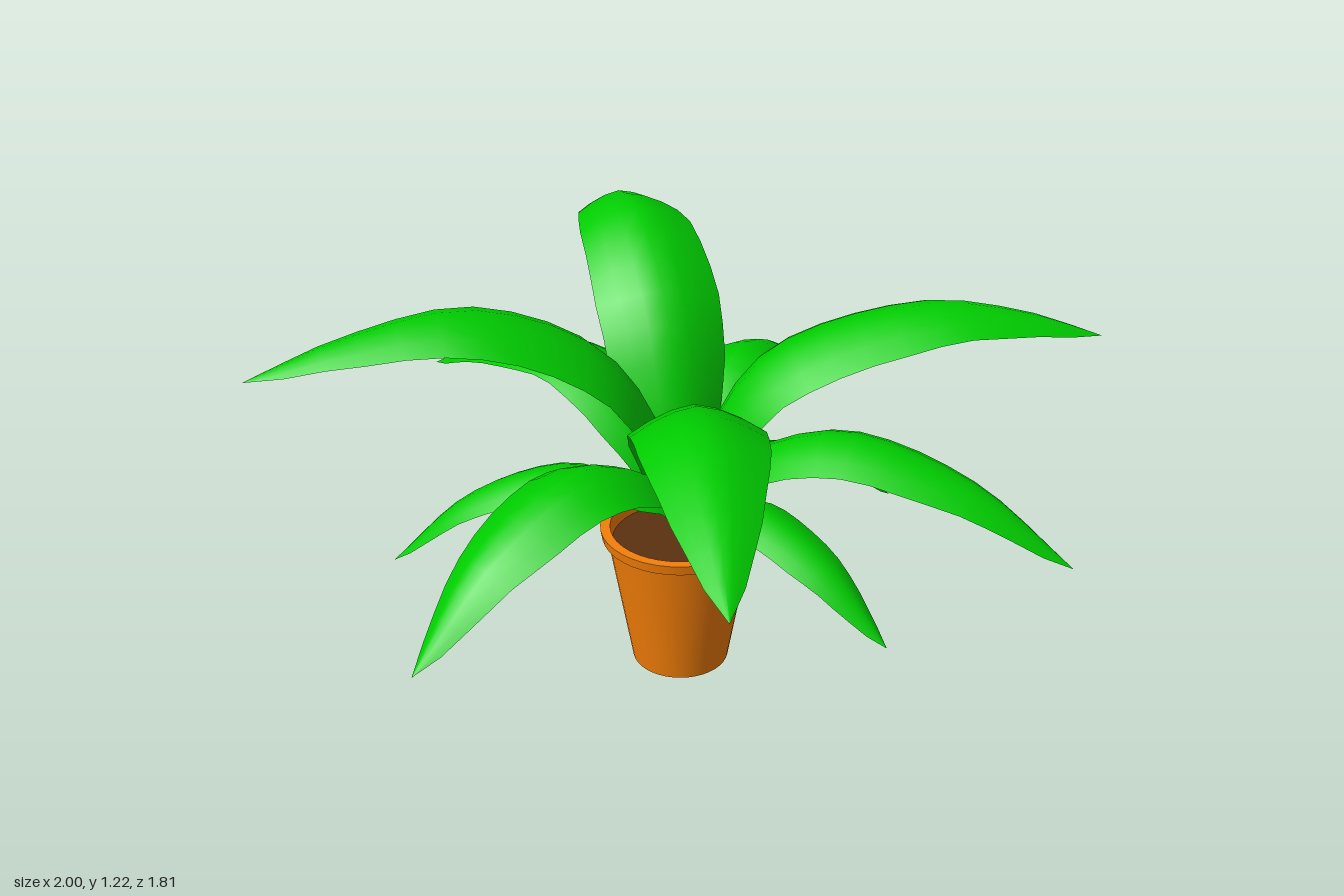
import * as THREE from 'three';

const CENTRE = new THREE.Vector3(-0.04, 0, -0.045);
const leafMaterial = new THREE.MeshStandardMaterial({ color: 0x00cc00, side: THREE.DoubleSide });
const potMaterial = new THREE.MeshStandardMaterial({ color: 0xf57f08, side: THREE.DoubleSide });
const soilMaterial = new THREE.MeshStandardMaterial({ color: 0x5c3010 });

// Half-width along a leaf: thin stalk, broad middle, rounded taper to the tip
const WIDTH = [[0, 0.06], [0.08, 0.1], [0.17, 0.66], [0.3, 0.93], [0.45, 1], [0.65, 0.9], [0.82, 0.58], [0.93, 0.29], [1, 0]];

function widthAt(t) {
  for (let i = 1; i < WIDTH.length; i++) {
    const [a, wa] = WIDTH[i - 1], [b, wb] = WIDTH[i];
    if (t <= b) return wa + (wb - wa) * (t - a) / (b - a);
  }
  return 0;
}

// Arching leaf blade: a domed strip swept along a curve that rises, peaks and droops to the tip
function makeLeaf(name, { tip, peak, at, half, sag = 0.31 }) {
  const end = new THREE.Vector3(...tip);
  const out = new THREE.Vector3(end.x - CENTRE.x, 0, end.z - CENTRE.z);
  const reach = out.length();
  out.normalize();
  const side = new THREE.Vector3(0, 1, 0).cross(out);
  const base = 0.38, rise = peak - base;
  const point = (r, y) => CENTRE.clone().addScaledVector(out, r * reach).setY(y);
  const curve = new THREE.CatmullRomCurve3([
    point(0.01, base),
    point(0.045, base + rise * 0.42),
    point(0.19, base + rise * 0.8),
    point(at, peak),
    point((at + 1) / 2 + 0.03, peak - (peak - tip[1]) * sag),
    end,
  ], false, 'centripetal');

  const along = 16, across = 6, positions = [], index = [];
  for (let i = 0; i <= along; i++) {
    const t = i / along;
    const p = curve.getPointAt(t);
    const normal = curve.getTangentAt(t).cross(side);
    const w = half * widthAt(t);
    for (let j = 0; j <= across; j++) {
      const s = j / across * 2 - 1;
      const v = p.clone().addScaledVector(side, s * w).addScaledVector(normal, -0.42 * w * Math.abs(s) ** 1.6);
      positions.push(v.x, v.y, v.z);
      if (i < along && j < across) {
        const a = i * (across + 1) + j, b = a + across + 1;
        index.push(a, b, a + 1);
        if (i < along - 1) index.push(b, b + 1, a + 1);
      }
    }
  }
  const geometry = new THREE.BufferGeometry();
  geometry.setAttribute('position', new THREE.Float32BufferAttribute(positions, 3));
  geometry.setIndex(index);
  geometry.computeVertexNormals();
  const mesh = new THREE.Mesh(geometry, leafMaterial);
  mesh.name = name;
  return mesh;
}

// Surface of revolution in straight bands, each with its own crisp edge
function makePot() {
  const pot = new THREE.Group();
  pot.name = 'pot';
  const bands = {
    potBase: [[0, 0], [0.14, 0]],
    potWall: [[0.14, 0], [0.208, 0.405]],
    rimUnderside: [[0.208, 0.405], [0.223, 0.405]],
    rimSide: [[0.223, 0.405], [0.228, 0.435]],
    rimTop: [[0.228, 0.435], [0.2, 0.435]],
    potInside: [[0.2, 0.435], [0.193, 0.38]],
  };
  for (const [name, pts] of Object.entries(bands)) {
    const profile = pts.map(([r, y]) => new THREE.Vector2(r, y));
    const mesh = new THREE.Mesh(new THREE.LatheGeometry(profile, 40), potMaterial);
    mesh.name = name;
    pot.add(mesh);
  }
  // Soil filling the pot
  const soil = new THREE.Mesh(new THREE.CircleGeometry(0.195, 40), soilMaterial);
  soil.rotation.x = -Math.PI / 2;
  soil.position.y = 0.39;
  soil.name = 'soil';
  pot.add(soil);
  pot.position.set(-0.05, 0, -0.038);
  return pot;
}

export function createModel() {
  const model = new THREE.Group();
  model.name = 'pottedPlant';
  model.add(makePot());

  // Three tiers of leaves
  const tiers = {
    upperLeaf: [
      { tip: [0.84, 0.98, -0.78], peak: 1.09, at: 0.56, half: 0.175 },
      { tip: [-0.83, 0.93, -0.67], peak: 1.22, at: 0.5, half: 0.18, sag: 0.24 },
      { tip: [-0.79, 1.02, 0.83], peak: 1.155, at: 0.48, half: 0.175 },
      { tip: [0.71, 0.885, 0.85], peak: 1.05, at: 0.47, half: 0.175 },
    ],
    middleLeaf: [
      { tip: [1.0, 0.5, -0.36], peak: 0.795, at: 0.41, half: 0.14 },
      { tip: [-0.19, 0.52, -0.91], peak: 0.83, at: 0.42, half: 0.135 },
      { tip: [-1.0, 0.67, -0.08], peak: 0.885, at: 0.4, half: 0.14 },
      { tip: [-0.21, 0.39, 0.9], peak: 0.755, at: 0.42, half: 0.15 },
    ],
    lowerLeaf: [
      { tip: [0.65, 0.31, 0], peak: 0.585, at: 0.33, half: 0.1 },
      { tip: [0.29, 0.36, -0.65], peak: 0.63, at: 0.38, half: 0.1 },
      { tip: [-0.57, 0.51, -0.7], peak: 0.71, at: 0.45, half: 0.1 },
      { tip: [-0.73, 0.31, 0.43], peak: 0.62, at: 0.4, half: 0.1 },
    ],
  };
  for (const [name, leaves] of Object.entries(tiers)) {
    leaves.forEach((leaf, i) => model.add(makeLeaf(name + (i + 1), leaf)));
  }
  return model;
}
